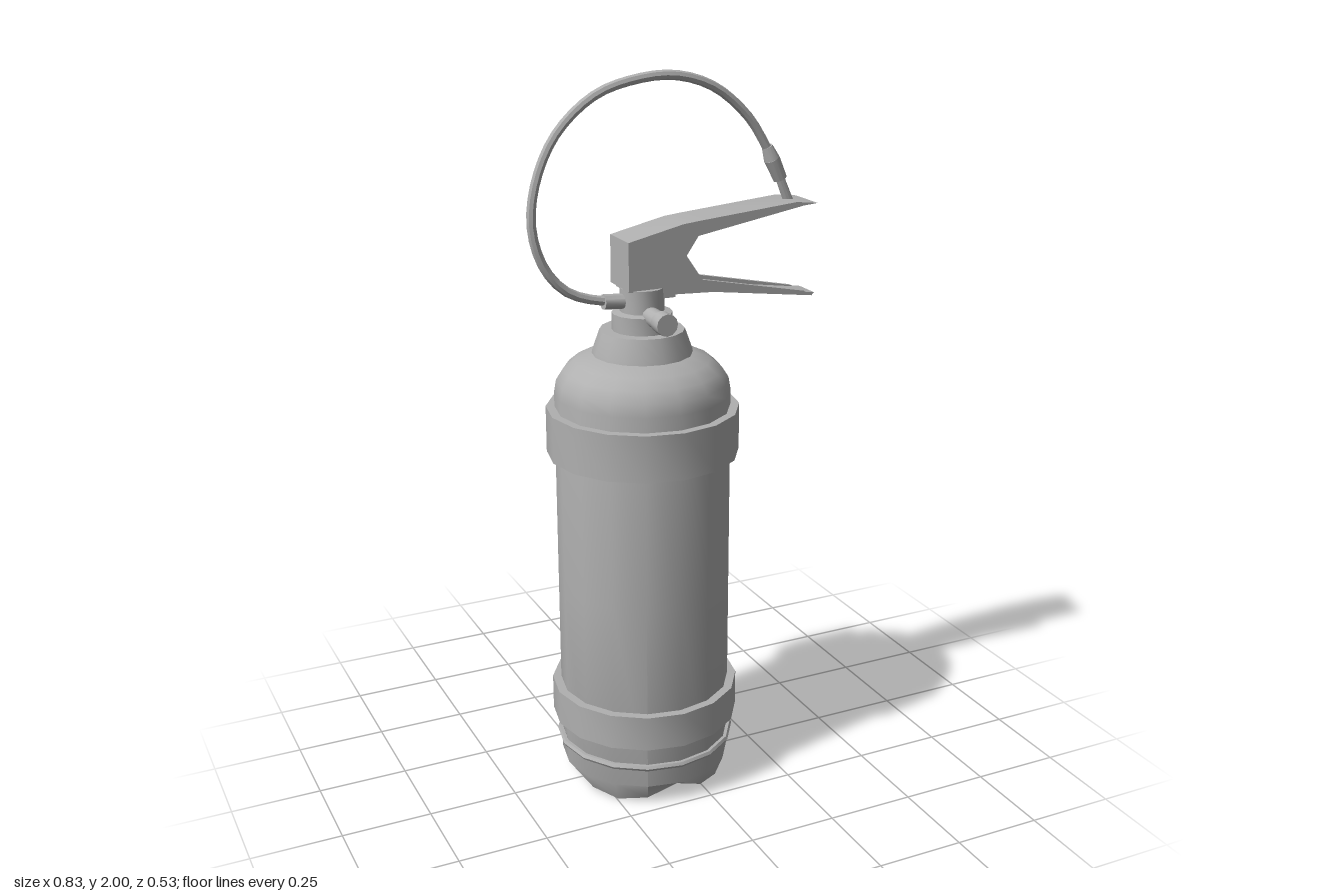
import * as THREE from 'three';
import { toCreasedNormals } from 'three/addons/utils/BufferGeometryUtils.js';

const AXIS = -0.093; // x of the tank's axis
const grey = new THREE.MeshStandardMaterial({ color: 0xb0b0b0 });
grey.name = 'grey metal';

export function createModel() {
  const model = new THREE.Group();
  model.name = 'fireExtinguisher';

  const add = (name, geometry, x = 0, y = 0, z = 0) => {
    const mesh = new THREE.Mesh(toCreasedNormals(geometry, 0.6), grey);
    mesh.name = name;
    mesh.position.set(x, y, z);
    model.add(mesh);
    return mesh;
  };
  const vectors = (pts) => pts.map(([x, y]) => new THREE.Vector2(x, y));
  const lathe = (pts, sides = 16) => new THREE.LatheGeometry(vectors(pts), sides);
  // Side outline extruded across z between z0 and z1
  const slab = (name, pts, z0, z1) => add(name, new THREE.ExtrudeGeometry(
    new THREE.Shape(vectors(pts)), { depth: z1 - z0, bevelEnabled: false }), 0, 0, z0);
  // Round bar between two points
  const rod = (name, a, b, r0, r1 = r0, sides = 12) => {
    const from = new THREE.Vector3(...a), to = new THREE.Vector3(...b);
    const dir = to.clone().sub(from);
    const mesh = add(name, new THREE.CylinderGeometry(r1, r0, dir.length(), sides));
    mesh.position.copy(from).add(to).multiplyScalar(0.5);
    mesh.quaternion.setFromUnitVectors(new THREE.Vector3(0, 1, 0), dir.normalize());
    return mesh;
  };

  // Tank, with its lowest rim shaped into four feet
  const tank = lathe([[0, 0.045], [0.217, 0], [0.24, 0.06], [0.24, 0.6], [0.24, 1.15],
    [0.234, 1.185], [0.215, 1.215], [0.185, 1.24], [0.13, 1.262], [0, 1.265]]);
  const p = tank.attributes.position;
  for (let i = 0; i < p.count; i++) {
    if (p.getY(i) > 0.001) continue;
    const angle = Math.atan2(p.getX(i), p.getZ(i));
    p.setY(i, 0.045 * Math.cos(2 * angle) ** 4);
  }
  add('tank', tank, AXIS);
  const bead = new THREE.TorusGeometry(0.245, 0.009, 6, 16);
  bead.rotateX(Math.PI / 2);
  add('baseRing', bead, AXIS, 0.123);

  // Collar, neck and valve stem
  add('collar', lathe([[0.138, 1.25], [0.135, 1.268], [0.115, 1.325], [0, 1.325]]), AXIS);
  add('neck', lathe([[0.082, 1.32], [0.082, 1.372], [0.06, 1.376], [0.06, 1.44], [0, 1.44]]), AXIS);

  // Mounting bands with a flat clasp at the back
  for (const [name, y, h] of [['upperBand', 0.98, 0.13], ['lowerBand', 0.19, 0.1]]) {
    add(name, lathe([[0.236, y], [0.264, y], [0.264, y + h], [0.236, y + h]]), AXIS);
    add(name + 'Clasp', new THREE.BoxGeometry(0.206, h, 0.034), AXIS, y + h / 2, -0.253);
  }

  // Side valve
  rod('gaugeStem', [AXIS, 1.372, 0.04], [AXIS, 1.372, 0.125], 0.025);
  rod('gaugeCap', [AXIS, 1.372, 0.12], [AXIS, 1.372, 0.16], 0.03);

  // Valve block inside the handle
  add('valveBlock', new THREE.BoxGeometry(0.13, 0.16, 0.07), -0.075, 1.49);

  // Upper handle: top plate, back plate and two cheeks
  slab('upperHandleTop', [[-0.157, 1.563], [0, 1.598], [0.05, 1.603], [0.34, 1.627],
    [0.405, 1.632], [0.34, 1.64], [0.05, 1.615], [0, 1.61], [-0.157, 1.575]], -0.06, 0.06);
  slab('handleBack', [[-0.157, 1.445], [-0.145, 1.445], [-0.145, 1.57], [-0.157, 1.57]], -0.06, 0.06);
  const cheek = [[-0.157, 1.445], [0.04, 1.445], [0.06, 1.452], [0.01, 1.525], [0.045, 1.575],
    [0.37, 1.63], [0.34, 1.635], [0.05, 1.61], [0, 1.605], [-0.157, 1.57]];
  slab('leftCheek', cheek, 0.048, 0.06);
  slab('rightCheek', cheek, -0.06, -0.048);

  // Lower lever: a channel that opens upward
  slab('lowerLeverFloor', [[-0.15, 1.438], [-0.04, 1.42], [0.1, 1.413], [0.405, 1.37],
    [0.413, 1.378], [0.1, 1.425], [-0.04, 1.445], [-0.15, 1.45]], -0.04, 0.04);
  const wall = [[-0.15, 1.44], [-0.04, 1.425], [0.1, 1.415], [0.39, 1.374], [0.38, 1.386],
    [0.06, 1.452], [-0.15, 1.455]];
  slab('lowerLeverLeftWall', wall, 0.03, 0.042);
  slab('lowerLeverRightWall', wall, -0.042, -0.03);

  // Hose looping over the handle, with its fitting and nozzle
  const path = new THREE.CatmullRomCurve3([[-0.14, 1.408], [-0.23, 1.418], [-0.31, 1.45],
    [-0.37, 1.52], [-0.4, 1.63], [-0.382, 1.75], [-0.325, 1.86], [-0.22, 1.948], [-0.1, 1.983],
    [0.01, 1.986], [0.12, 1.95], [0.22, 1.867], [0.275, 1.785], [0.295, 1.75]]
    .map(([x, y]) => new THREE.Vector3(x, y, 0)));
  add('hose', new THREE.TubeGeometry(path, 40, 0.013, 8));
  rod('hoseFitting', [-0.205, 1.41, 0], [-0.13, 1.405, 0], 0.021);
  rod('nozzleTail', [0.278, 1.785, 0], [0.293, 1.75, 0], 0.015, 0.022);
  rod('nozzleGrip', [0.293, 1.75, 0], [0.32, 1.695, 0], 0.022, 0.019);
  rod('nozzleTip', [0.318, 1.7, 0], [0.352, 1.62, 0], 0.012, 0.014);

  return model;
}
